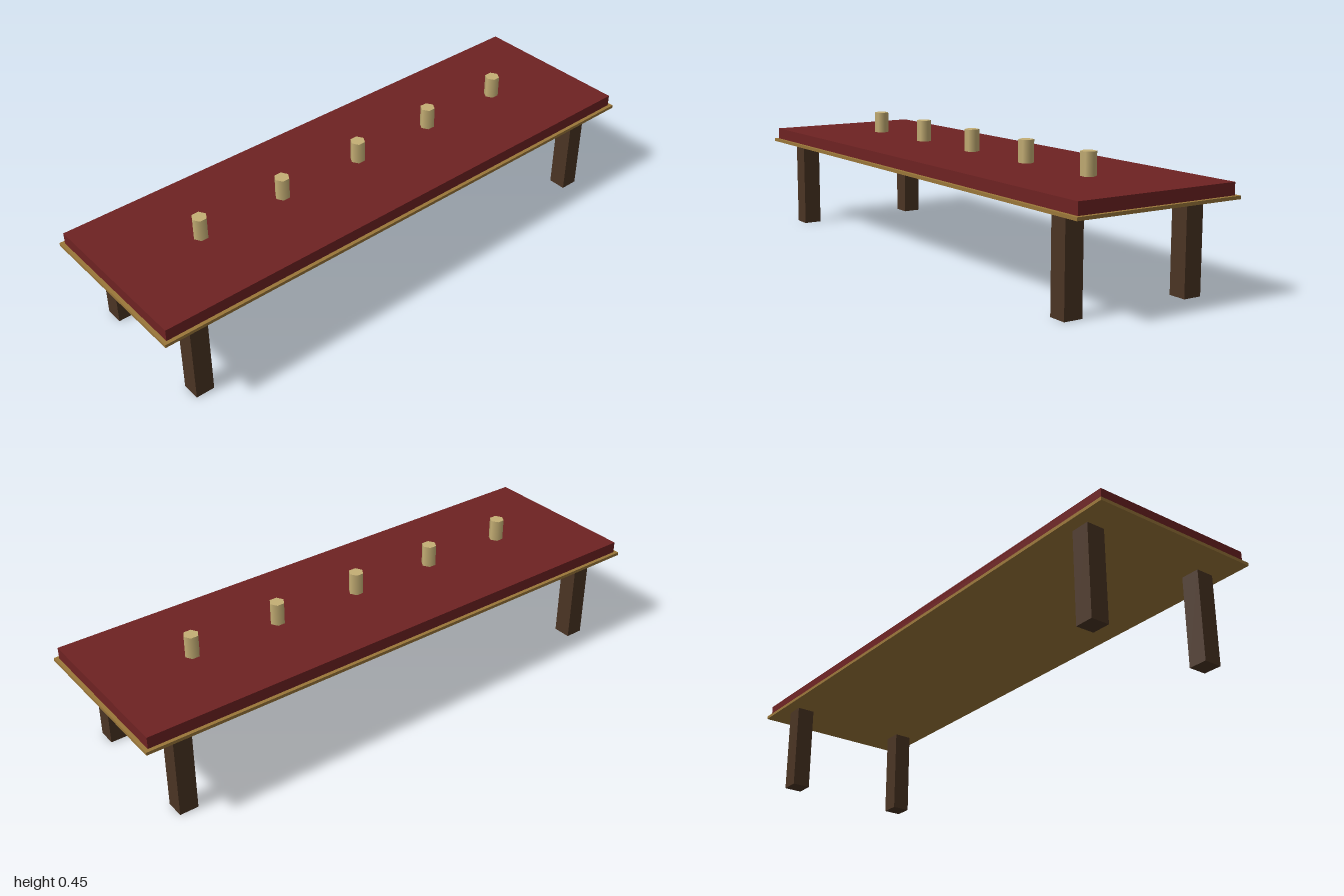
import * as THREE from 'three';

export function createModel() {
  const group = new THREE.Group();
  const material = (name, color) => {
    const m = new THREE.MeshStandardMaterial({ color });
    m.name = name;
    return m;
  };
  const redCloth = material('dark red', 0x6e2222);
  const brassTrim = material('brass trim', 0x9a7639);
  const darkWood = material('dark wood', 0x4a3423);
  const paleBrass = material('pale brass', 0xc4ae74);

  const add = (name, geometry, mat, x, y, z) => {
    const mesh = new THREE.Mesh(geometry, mat);
    mesh.name = name;
    mesh.position.set(x, y, z);
    group.add(mesh);
    return mesh;
  };

  // Thin trim board with a slightly smaller red top on it
  add('trimBoard', new THREE.BoxGeometry(2, 0.011, 0.62), brassTrim, 0, 0.3235, 0);
  add('tableTop', new THREE.BoxGeometry(1.974, 0.041, 0.594), redCloth, 0, 0.3495, 0);

  // Four square legs
  const legGeometry = new THREE.BoxGeometry(0.066, 0.318, 0.066);
  for (const sx of [-1, 1]) {
    for (const sz of [-1, 1]) {
      const name = (sz > 0 ? 'front' : 'back') + (sx > 0 ? 'Left' : 'Right') + 'Leg';
      add(name, legGeometry, darkWood, sx * 0.856, 0.159, sz * 0.231);
    }
  }

  // Row of six-sided posts, corners pointing along x
  const postGeometry = new THREE.CylinderGeometry(0.0265, 0.0265, 0.078, 6);
  postGeometry.rotateY(Math.PI / 2);
  for (let i = -2; i <= 2; i++) {
    add('post' + (i + 3), postGeometry, paleBrass, i * 0.329, 0.409, 0);
  }
  return group;
}
